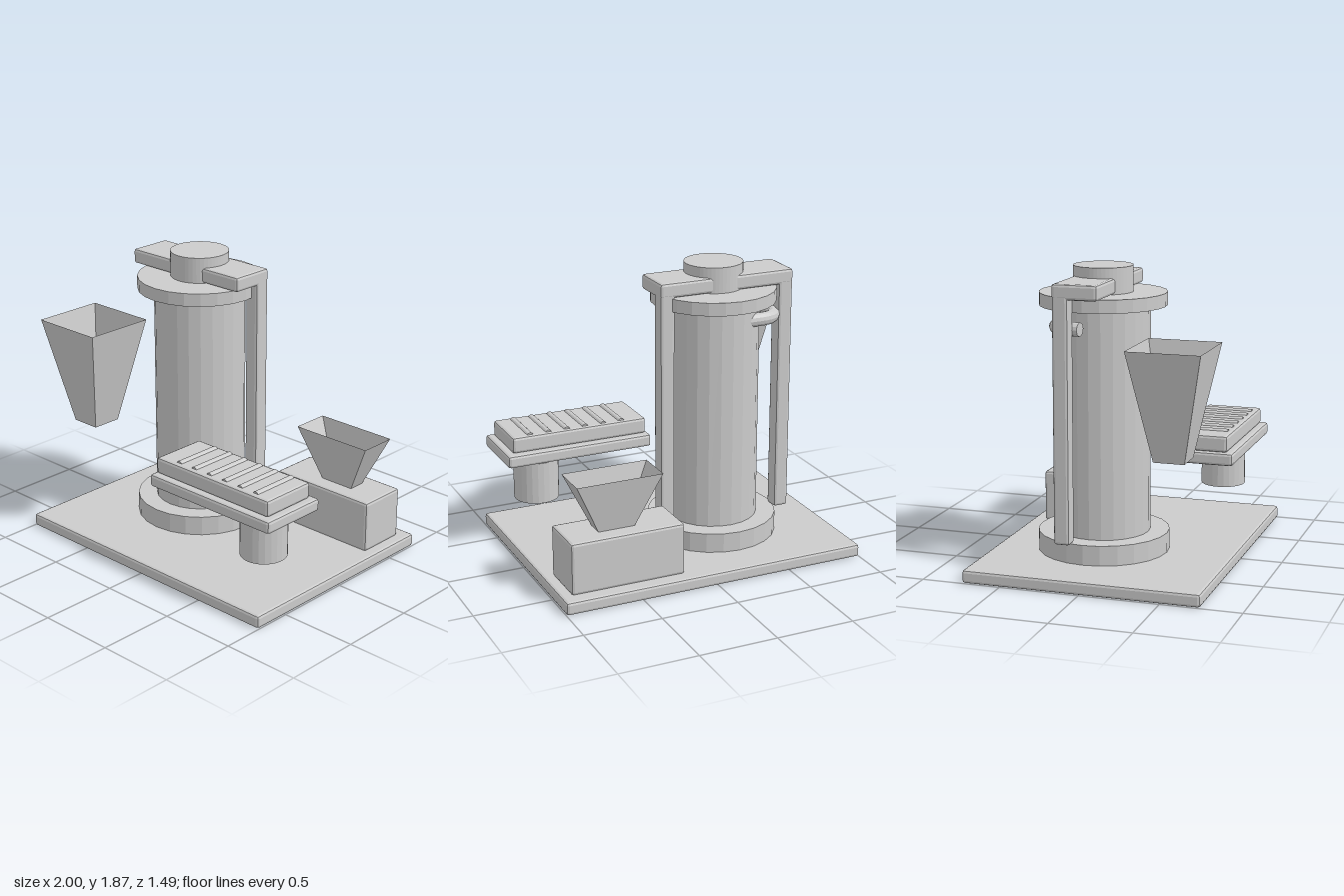
import * as THREE from 'three';
import { RoundedBoxGeometry } from 'three/addons/geometries/RoundedBoxGeometry.js';

const metal = new THREE.MeshStandardMaterial({ color: 0xcccccc, flatShading: true });
const sheet = new THREE.MeshStandardMaterial({ color: 0xcccccc, flatShading: true, side: THREE.DoubleSide });

export function createModel() {
  const model = new THREE.Group();

  const add = (name, geometry, material = metal) => {
    const mesh = new THREE.Mesh(geometry, material);
    mesh.name = name;
    model.add(mesh);
    return mesh;
  };

  // Box with softened edges, given by its extents on each axis
  const box = (name, [x0, x1], [y0, y1], [z0, z1], bevel = 0.018) =>
    add(name, new RoundedBoxGeometry(x1 - x0, y1 - y0, z1 - z0, 1, bevel))
      .position.set((x0 + x1) / 2, (y0 + y1) / 2, (z0 + z1) / 2);

  // Upright cylinder between two heights
  const drum = (name, x, z, r, y0, y1, sides = 24) =>
    add(name, new THREE.CylinderGeometry(r, r, y1 - y0, sides))
      .position.set(x, (y0 + y1) / 2, z);

  // Open rectangular funnel: top and bottom are [width, depth]
  const funnel = (name, x, z, y0, y1, top, bottom) => {
    const g = new THREE.BoxGeometry(1, 1, 1).toNonIndexed();
    const p = g.attributes.position;
    const walls = [];
    for (let i = 0; i < p.count; i++) {
      if (i >= 12 && i < 24) continue; // leave out lid and floor
      const [w, d] = p.getY(i) > 0 ? top : bottom;
      walls.push(x + p.getX(i) * w, p.getY(i) > 0 ? y1 : y0, z + p.getZ(i) * d);
    }
    const open = new THREE.BufferGeometry();
    open.setAttribute('position', new THREE.Float32BufferAttribute(walls, 3));
    open.computeVertexNormals();
    add(name, open, sheet);
  };

  // Base plate
  box('basePlate', [-1, 1], [0, 0.083], [-0.745, 0.745]);

  // Tower: foot, column, top flange and cap
  const cx = -0.27, cz = -0.085;
  drum('columnFoot', cx, cz, 0.412, 0.08, 0.208);
  drum('column', cx, cz, 0.29, 0.2, 1.63);
  drum('columnFlange', cx, cz, 0.395, 1.626, 1.708);
  drum('columnCap', cx, cz, 0.185, 1.7, 1.87, 48);

  // Lifting frame: crossbar and two hanging posts
  box('crossbar', [-0.745, 0.163], [1.71, 1.806], [-0.25, 0.036]);
  for (const x of [-0.695, 0.114])
    box('framePost', [x - 0.049, x + 0.049], [0.214, 1.75], [-0.249, -0.147]);

  // Bent outlet pipe, closed at its free end
  const path = new THREE.CatmullRomCurve3([
    new THREE.Vector3(-0.38, 1.523, -0.3),
    new THREE.Vector3(-0.55, 1.523, -0.29),
    new THREE.Vector3(-0.61, 1.523, -0.24),
    new THREE.Vector3(-0.63, 1.523, -0.11),
  ]);
  add('outletPipe', new THREE.TubeGeometry(path, 12, 0.043, 12), sheet);
  const end = add('outletPipeEnd', new THREE.CircleGeometry(0.043, 12), sheet);
  end.position.copy(path.getPoint(1));
  end.lookAt(path.getPoint(1).add(path.getTangent(1)));

  // Feed hopper
  funnel('feedHopper', -0.653, 0.478, 0.778, 1.457, [0.476, 0.456], [0.19, 0.192]);

  // Sieve table with ribs, and the drive motor below it
  box('sieveTray', [0.022, 1], [0.586, 0.667], [0.21, 0.664]);
  box('sieveDeck', [0.043, 0.957], [0.667, 0.773], [0.25, 0.624]);
  for (let i = 0; i < 6; i++) {
    const rib = add('sieveRib', new THREE.CylinderGeometry(0.022, 0.022, 0.316, 12));
    rib.rotation.x = Math.PI / 2;
    rib.position.set(0.207 + i * 0.125, 0.764, 0.432);
  }
  drum('sieveMotor', 0.747, 0.419, 0.146, 0.29, 0.564);

  // Rear grinder: housing and its hopper
  box('grinderHousing', [0.19, 0.933], [0.08, 0.414], [-0.66, -0.332]);
  funnel('grinderHopper', 0.596, -0.498, 0.412, 0.75, [0.556, 0.248], [0.236, 0.11]);

  return model;
}
